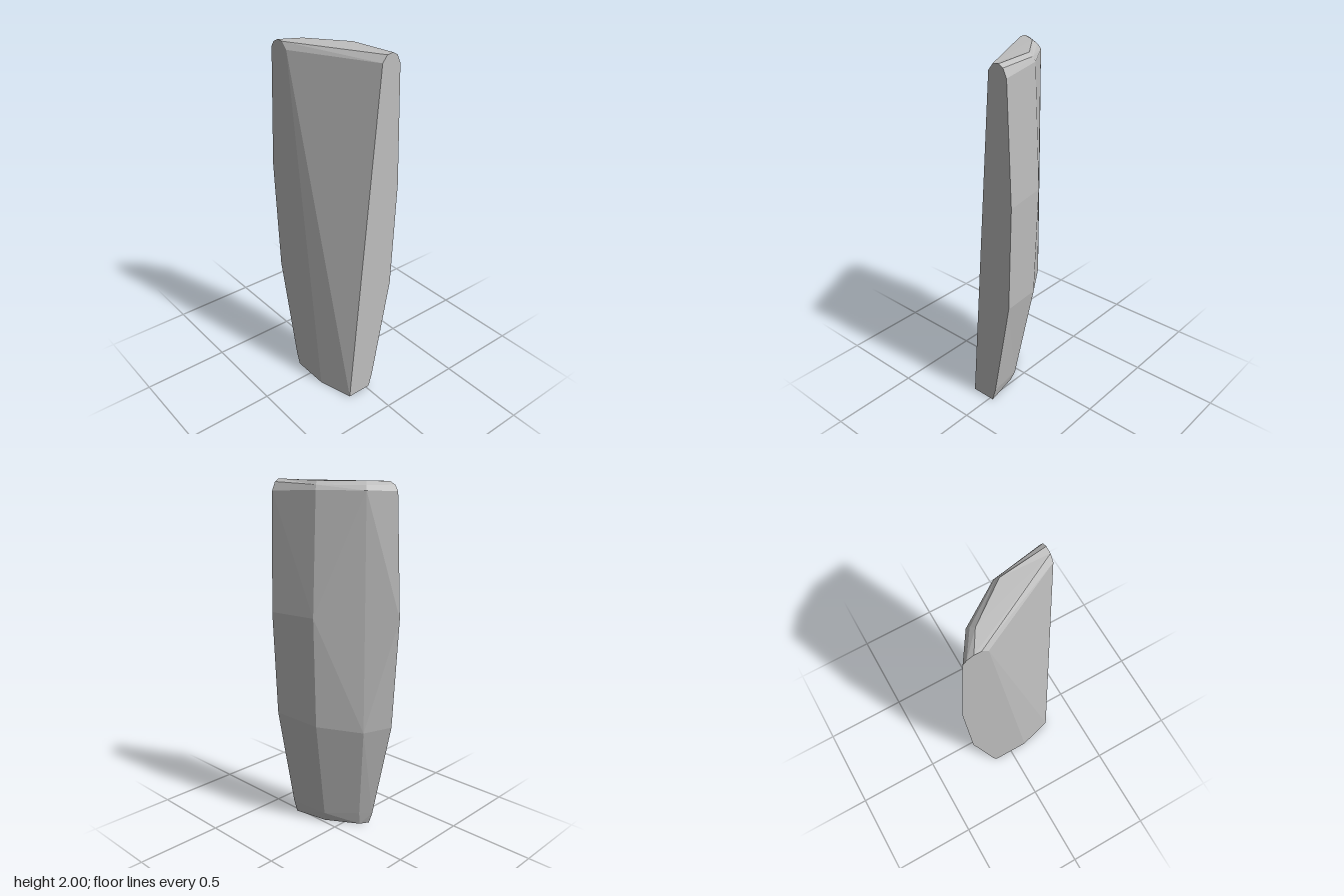
import * as THREE from 'three';

// Outer skin: one row per height, four columns from back edge to front edge, each [x, y, z]
const OUTER = [
  [[-0.18, 0, -0.11], [-0.13, 0, -0.08], [-0.02, 0, 0.1], [0.02, 0, 0.304]],
  [[-0.18, 0.07, -0.135], [-0.115, 0.08, -0.09], [0.0, 0.06, 0.085], [0.043, 0.08, 0.304]],
  [[-0.18, 0.66, -0.266], [-0.045, 0.64, -0.178], [0.107, 0.66, 0.042], [0.155, 0.69, 0.304]],
  [[-0.18, 1.29, -0.304], [-0.043, 1.29, -0.18], [0.13, 1.29, 0.034], [0.18, 1.29, 0.304]],
  [[-0.18, 1.95, -0.27], [-0.042, 1.955, -0.18], [0.103, 1.955, 0.035], [0.158, 1.94, 0.304]],
  [[-0.18, 1.98, -0.25], [-0.055, 1.98, -0.167], [0.093, 1.98, 0.042], [0.137, 1.985, 0.304]],
  [[-0.18, 1.997, -0.215], [-0.075, 2, -0.15], [0.078, 2, 0.052], [0.11, 2, 0.304]],
];
// Sloping inner skin: back and front column at foot, bevel and crest
const INNER = [
  [[-0.18, 0, 0.105], [-0.125, 0, 0.304]],
  [[-0.18, 1.96, -0.145], [0.045, 1.96, 0.304]],
  [[-0.18, 1.995, -0.178], [0.073, 1.995, 0.304]],
];

const column = (rows, j) => rows.map((r) => r[j]);

// Fan of triangles over a convex polygon
function fan(points) {
  const out = [];
  for (let i = 1; i < points.length - 1; i++) out.push(points[0], points[i], points[i + 1]);
  return out;
}

// Outer skin with alternating diagonals
function outerSkin() {
  const out = [];
  for (let i = 0; i < OUTER.length - 1; i++) {
    for (let j = 0; j < 3; j++) {
      const ll = OUTER[i][j + 1], lr = OUTER[i][j];
      const ur = OUTER[i + 1][j], ul = OUTER[i + 1][j + 1];
      if ((i + j) % 2 === 0) out.push(ll, lr, ur, ll, ur, ul);
      else out.push(ll, lr, ul, lr, ur, ul);
    }
  }
  return out;
}

function innerSkin() {
  const out = [];
  for (let i = 0; i < INNER.length - 1; i++) {
    const [a, b] = INNER[i], [c, d] = INNER[i + 1];
    out.push(a, b, c, b, d, c);
  }
  return out;
}

export function createModel() {
  const group = new THREE.Group();
  group.name = 'curvedSlab';
  const grey = new THREE.MeshStandardMaterial({ color: 0xbfbfbf, flatShading: true });
  grey.name = 'plain grey';

  const add = (name, points) => {
    const geometry = new THREE.BufferGeometry();
    geometry.setAttribute('position', new THREE.Float32BufferAttribute(points.flat(), 3));
    geometry.computeVertexNormals();
    const mesh = new THREE.Mesh(geometry, grey);
    mesh.name = name;
    group.add(mesh);
  };

  const foot = [...INNER[0], ...[...OUTER[0]].reverse()];
  const crest = [INNER[2][1], ...[...OUTER[6]].reverse(), INNER[2][0]];

  add('outerFace', outerSkin());
  add('innerFace', innerSkin());
  add('frontEnd', fan([INNER[0][1], ...column(OUTER, 3), INNER[2][1], INNER[1][1]]));
  add('backEnd', fan([...column(INNER, 0), ...column(OUTER, 0).reverse()]));
  add('topFace', fan(crest));
  add('bottomFace', fan(foot.reverse()));
  return group;
}
